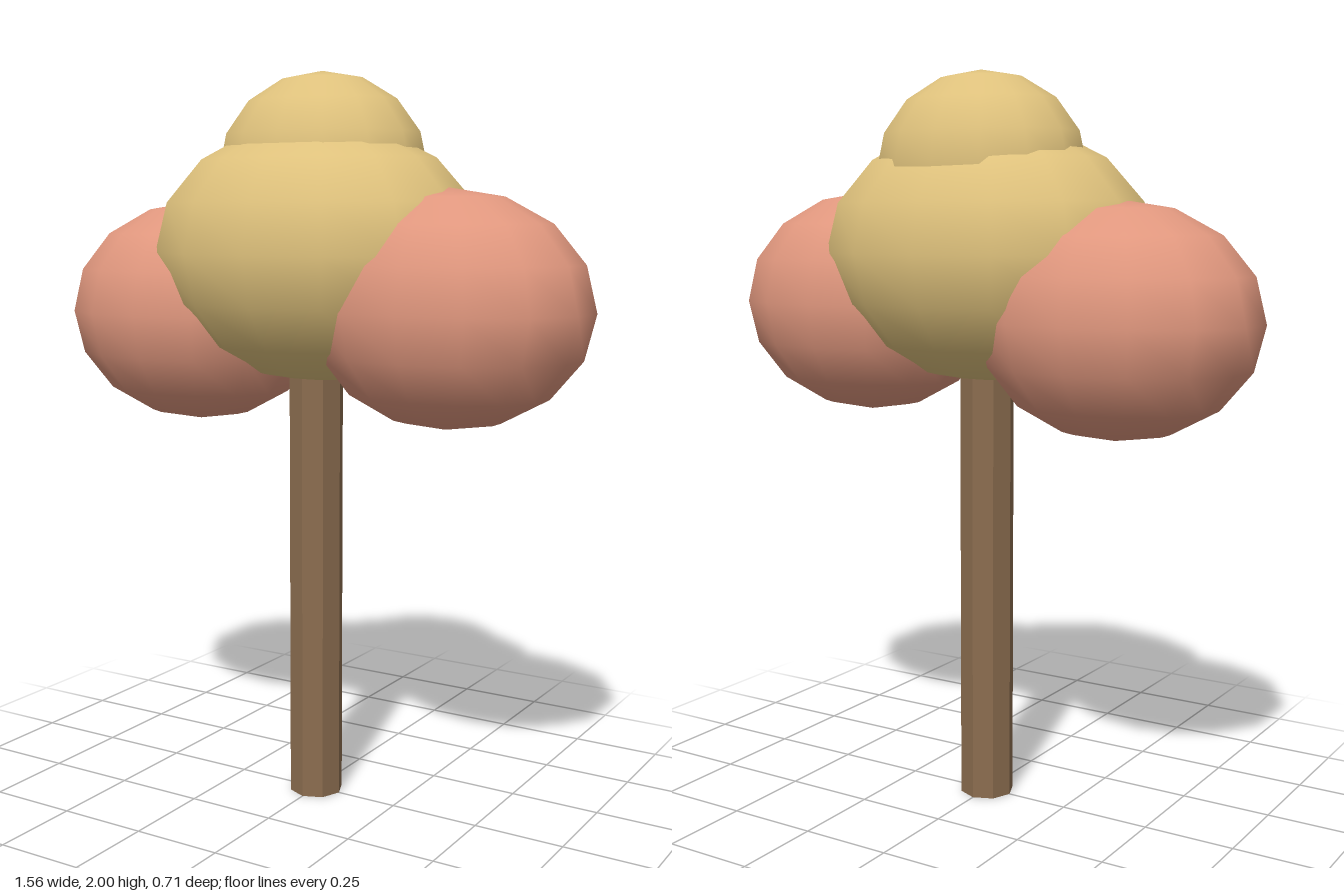
import * as THREE from 'three';

const paint = (color, flatShading = false) => new THREE.MeshStandardMaterial({ color, flatShading });

export function createModel() {
  const tree = new THREE.Group();
  tree.name = 'tree';

  const gold = paint(0xdec17c);
  const salmon = paint(0xe0977e);
  const bark = paint(0x8b6d4f, true);

  // Octagonal trunk, its top sunk into the crown
  const trunkHeight = 1.3;
  const trunk = new THREE.Mesh(new THREE.CylinderGeometry(0.075, 0.075, trunkHeight, 8), bark);
  trunk.name = 'trunk';
  trunk.position.y = trunkHeight / 2;
  tree.add(trunk);

  // Foliage: one low-poly sphere, stretched into each clump (a ring corner points to +z)
  const ball = new THREE.SphereGeometry(1, 14, 8).rotateY(Math.PI / 2);
  const clumps = [
    // name, material, centre, radii
    ['crownMiddle', gold, [0, 1.52, 0], [0.48, 0.35, 0.355]],
    ['crownTop', gold, [0, 1.735, -0.03], [0.3, 0.265, 0.24]],
    ['leftFoliage', salmon, [0.4, 1.38, 0.013], [0.39, 0.31, 0.288]],
    ['rightFoliage', salmon, [-0.4, 1.35, -0.013], [0.39, 0.31, 0.305]],
  ];
  for (const [name, material, centre, radii] of clumps) {
    const clump = new THREE.Mesh(ball, material);
    clump.name = name;
    clump.position.set(...centre);
    clump.scale.set(...radii);
    tree.add(clump);
  }

  return tree;
}
